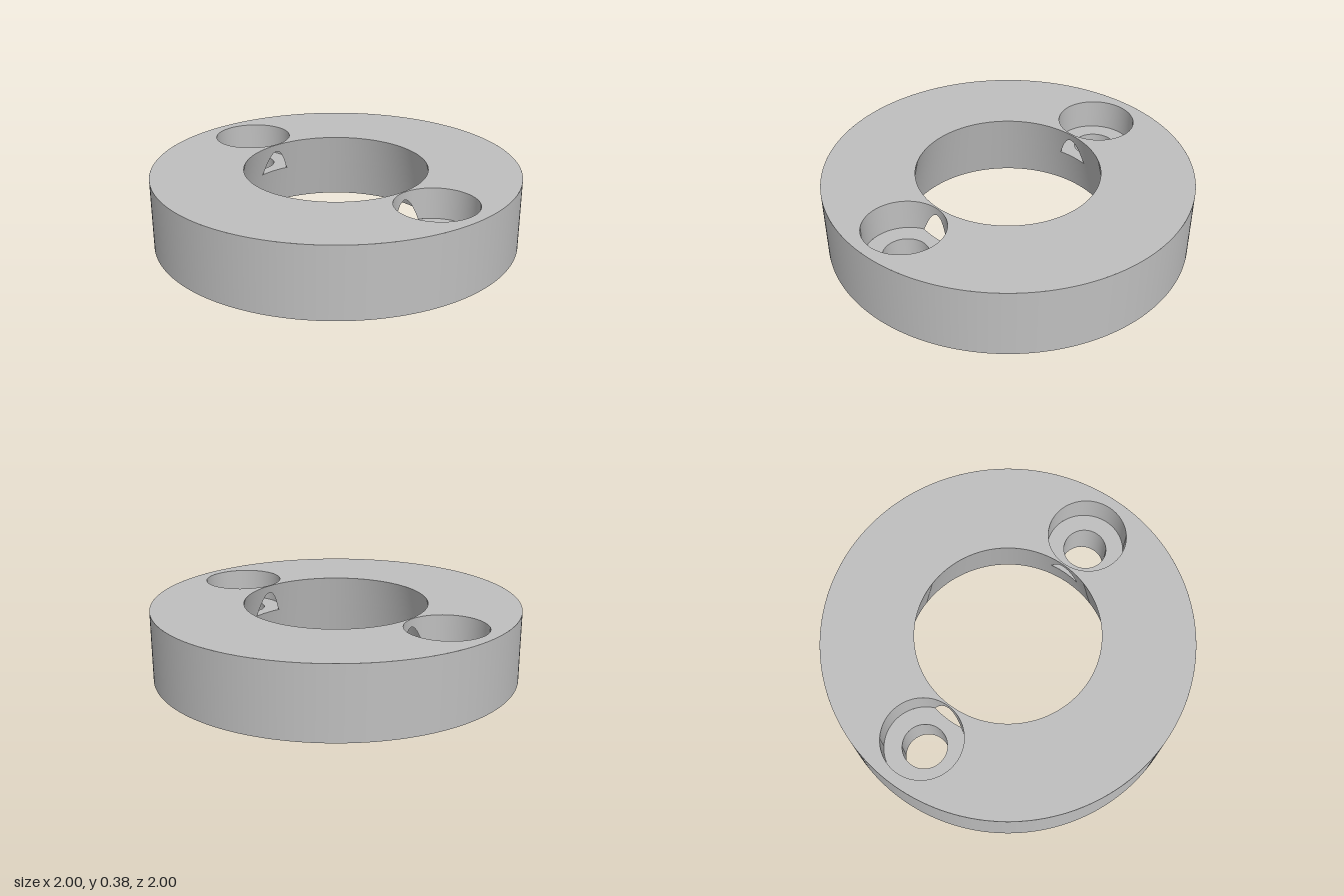
import * as THREE from 'three';

const H = 0.385;                     // ring height
const OUTER = 1, BORE_TOP = 0.5, BORE_BOTTOM = 0.58;
const CX = 0.725;                    // bolt axis offset
const HOLE = 0.12, CBORE = 0.216, FLOOR = 0.215;
const SEG = 360;

// Tapered bore: radius at a height, and height at a radius
const boreRadius = (y) => BORE_BOTTOM + (BORE_TOP - BORE_BOTTOM) * y / H;
const boreHeight = (r) => H * (BORE_BOTTOM - r) / (BORE_BOTTOM - BORE_TOP);
const R_FLOOR = boreRadius(FLOOR);

// Where the counterbore circle meets the bore at floor level
const XI = (R_FLOOR ** 2 - CBORE ** 2 + CX ** 2) / (2 * CX);
const ZI = Math.sqrt(R_FLOOR ** 2 - XI ** 2);
const GAP = Math.atan2(ZI, XI);

// Closed wall around an axis at x = cx; low and high give [radius, y] per angle
function wall(low, high, inward, cx = 0) {
  const pos = [], idx = [];
  for (let i = 0; i < SEG; i++) {
    const t = i / SEG * Math.PI * 2;
    for (const [r, y] of [low(t), high(t)]) pos.push(cx + r * Math.cos(t), y, r * Math.sin(t));
    const a = 2 * i, b = a + 1, c = 2 * ((i + 1) % SEG), d = c + 1;
    if (inward) idx.push(a, c, b, c, d, b);
    else idx.push(a, b, c, c, b, d);
  }
  const g = new THREE.BufferGeometry();
  g.setAttribute('position', new THREE.Float32BufferAttribute(pos, 3));
  g.setIndex(idx);
  g.computeVertexNormals();
  return g;
}

const circle = (x, r) => new THREE.Path().absarc(x, 0, r, 0, Math.PI * 2);

// Ring face with a bore and two bolt openings
function face(bore, bolt, y, up) {
  const s = new THREE.Shape().absarc(0, 0, OUTER, 0, Math.PI * 2);
  s.holes.push(circle(0, bore), circle(CX, bolt), circle(-CX, bolt));
  return new THREE.ShapeGeometry(s, 90).rotateX(up ? -Math.PI / 2 : Math.PI / 2).translate(0, y, 0);
}

export function createModel() {
  const model = new THREE.Group();
  model.name = 'counterboredRing';
  const grey = new THREE.MeshStandardMaterial({ color: 0xbfbfbf, side: THREE.DoubleSide });
  grey.name = 'grey';
  const add = (parent, name, geometry) => {
    const m = new THREE.Mesh(geometry, grey);
    m.name = name;
    parent.add(m);
  };

  // Ring body
  add(model, 'outerWall', wall(() => [OUTER, 0], () => [OUTER, H], false));
  add(model, 'topFace', face(BORE_TOP, CBORE, H, true));
  add(model, 'bottomFace', face(BORE_BOTTOM, HOLE, 0, false));

  // Tapered bore, with the windows where the counterbores break through
  const windowTop = (t) => {
    const a = Math.atan2(Math.sin(t), Math.abs(Math.cos(t)));
    if (Math.abs(a) >= GAP) return [R_FLOOR, FLOOR];
    const r = CX * Math.cos(a) - Math.sqrt(CBORE ** 2 - (CX * Math.sin(a)) ** 2);
    return [r, boreHeight(r)];
  };
  add(model, 'boreLower', wall(() => [BORE_BOTTOM, 0], () => [R_FLOOR, FLOOR], true));
  add(model, 'boreUpper', wall(windowTop, () => [BORE_TOP, H], true));

  // Bolt holes, one each side
  const wallFoot = (t) => {
    const r = Math.hypot(CX + CBORE * Math.cos(t), CBORE * Math.sin(t));
    return [CBORE, Math.max(FLOOR, boreHeight(r))];
  };
  const phi = Math.atan2(ZI, XI - CX);
  const floor = new THREE.Shape();
  floor.absarc(CX, 0, CBORE, -phi, phi, false);
  floor.absarc(0, 0, R_FLOOR, GAP, -GAP, true);
  floor.holes.push(circle(CX, HOLE));
  for (const [name, turn] of [['leftBoltHole', 0], ['rightBoltHole', Math.PI]]) {
    const bolt = new THREE.Group();
    bolt.name = name;
    bolt.rotation.y = turn;
    add(bolt, 'counterboreWall', wall(wallFoot, () => [CBORE, H], true, CX));
    add(bolt, 'counterboreFloor', new THREE.ShapeGeometry(floor, 60).rotateX(-Math.PI / 2).translate(0, FLOOR, 0));
    add(bolt, 'throughHole', wall(() => [HOLE, 0], () => [HOLE, FLOOR], true, CX));
    model.add(bolt);
  }
  return model;
}
